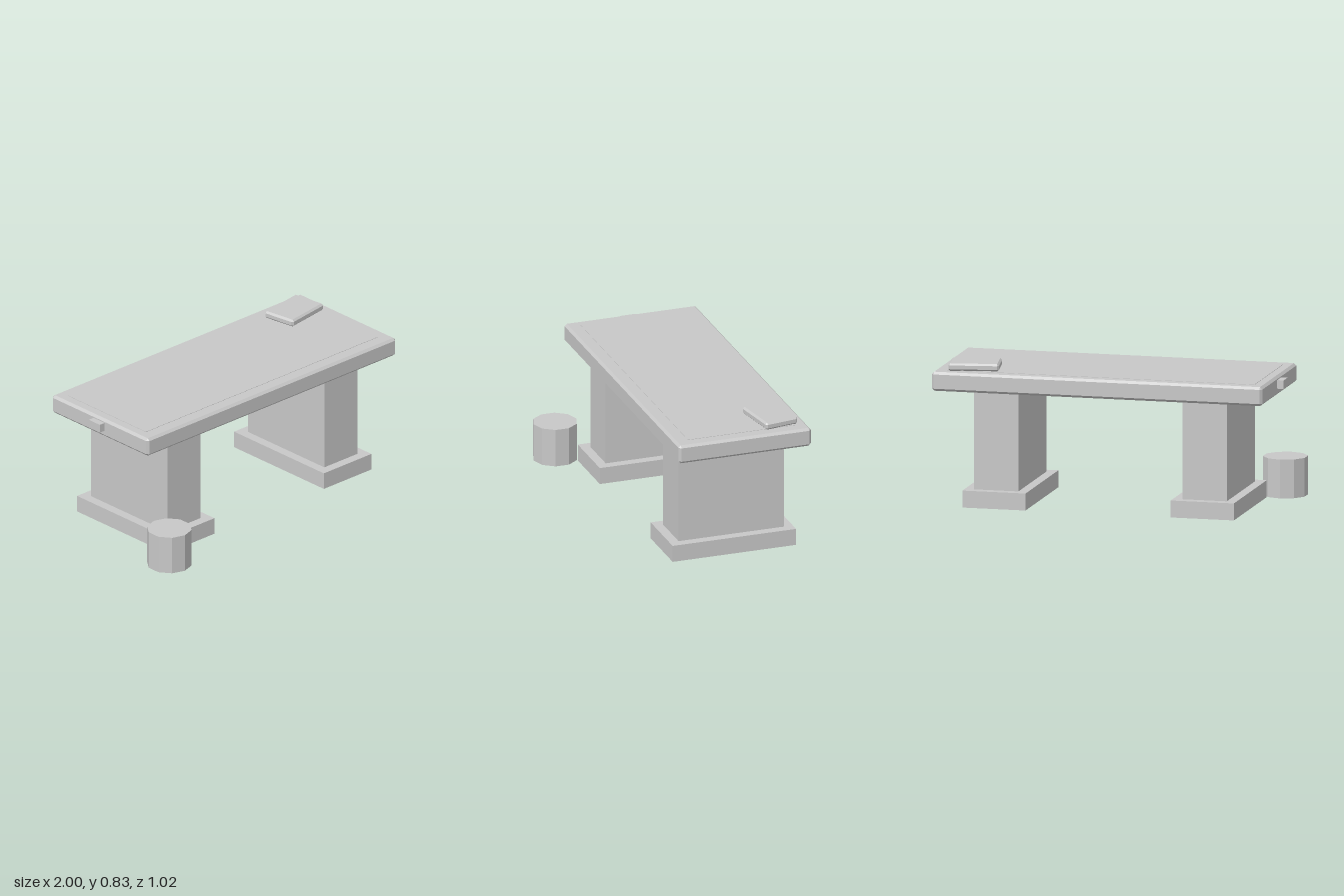
import * as THREE from 'three';
import { ConvexGeometry } from 'three/addons/geometries/ConvexGeometry.js';

const grey = new THREE.MeshStandardMaterial({ color: 0xc8c8c8 });
grey.name = 'plain grey';

// Box with every edge chamfered by c
function chamferBox(w, h, d, c) {
  const points = [];
  for (const x of [-1, 1]) for (const y of [-1, 1]) for (const z of [-1, 1]) {
    for (let axis = 0; axis < 3; axis++) {
      const inset = [c, c, c];
      inset[axis] = 0;
      points.push(new THREE.Vector3(
        x * (w / 2 - inset[0]), y * (h / 2 - inset[1]), z * (d / 2 - inset[2])));
    }
  }
  return new ConvexGeometry(points);
}

export function createModel() {
  const group = new THREE.Group();
  group.name = 'desk';

  // Adds a box given its minimum and maximum corners
  const addBox = (name, min, max, chamfer = 0) => {
    const size = max.map((v, i) => v - min[i]);
    const geometry = chamfer ? chamferBox(...size, chamfer) : new THREE.BoxGeometry(...size);
    const mesh = new THREE.Mesh(geometry, grey);
    mesh.name = name;
    mesh.position.set(...max.map((v, i) => (v + min[i]) / 2));
    group.add(mesh);
    return mesh;
  };

  // Table top with a barely raised writing surface
  addBox('tableTop', [-0.962, 0.677, -0.511], [0.995, 0.788, 0.295], 0.014);
  addBox('writingSurface', [-0.9, 0.77, -0.44], [0.92, 0.79, 0.215]);

  // Small block on the right end of the top
  addBox('sideKnob', [-1, 0.718, -0.157], [-0.95, 0.768, -0.065]);

  // Two pillars on wide feet
  for (const [side, x] of [['right', -0.602], ['left', 0.632]]) {
    addBox(side + 'Pillar', [x - 0.131, 0.09, -0.425], [x + 0.131, 0.69, 0.216]);
    addBox(side + 'Foot', [x - 0.187, 0, -0.48], [x + 0.187, 0.099, 0.272]);
  }

  // Thin pad lying at an angle on the back corner
  const pad = addBox('pad', [0.634, 0.788, -0.439], [0.926, 0.832, -0.231], 0.011);
  pad.rotation.y = 0.155;

  // Ten-sided bin
  const bin = new THREE.Mesh(
    new THREE.CylinderGeometry(0.13, 0.13, 0.226, 10).toNonIndexed(), grey);
  bin.geometry.computeVertexNormals();
  bin.name = 'bin';
  bin.position.set(-0.872, 0.113, 0.381);
  group.add(bin);

  return group;
}
